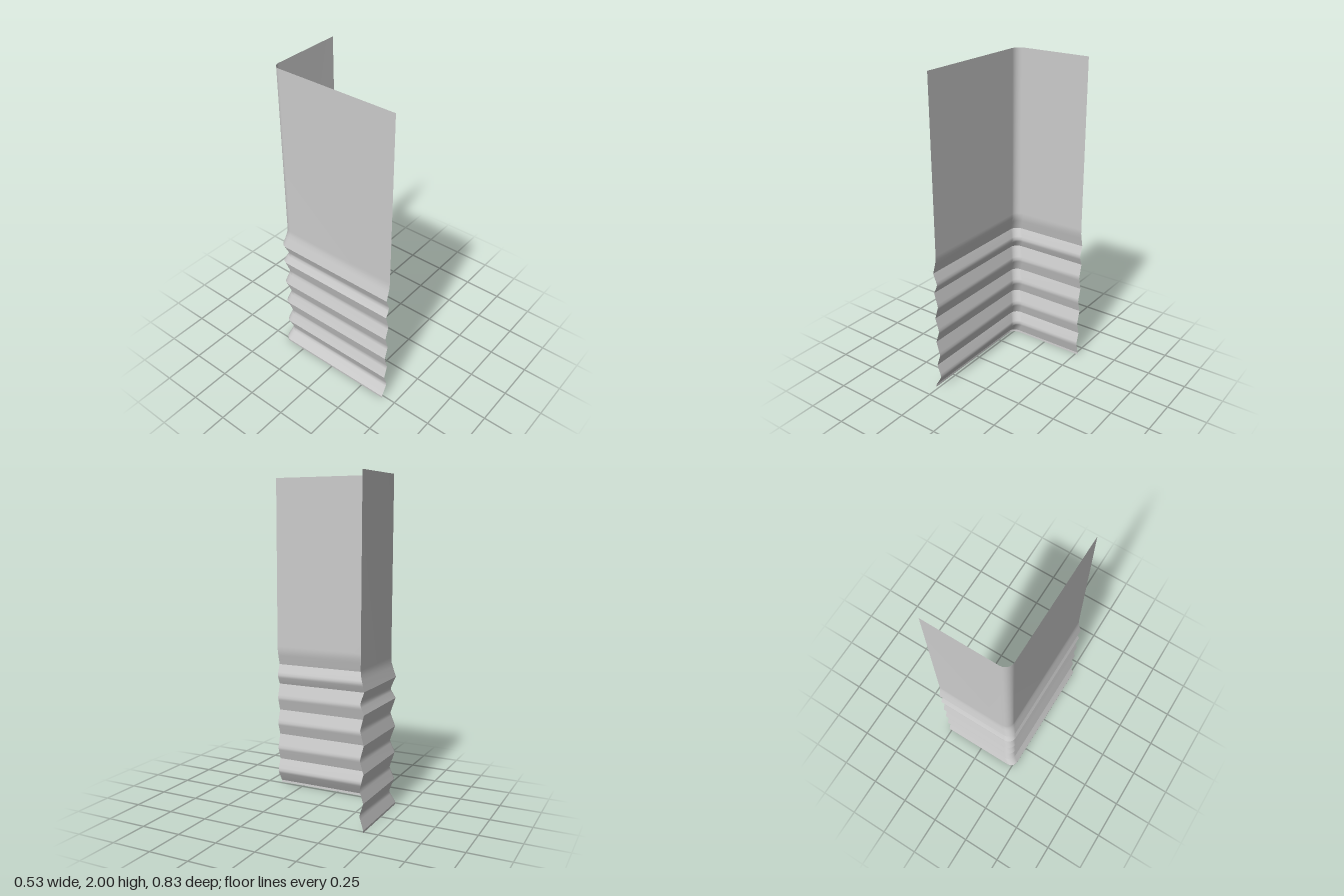
import * as THREE from 'three';

// One strip of the sheet: every row is [y, x of side wall, z of back wall]
function strip(rows, material) {
  const radius = 0.05, bend = 5, pos = [], index = [];
  for (const [y, x, z] of rows) {
    pos.push(x, y, 0.415);
    for (let i = 0; i <= bend; i++) {
      const a = (i / bend) * Math.PI / 2;
      pos.push(x + radius * (1 - Math.cos(a)), y, z + radius * (1 - Math.sin(a)));
    }
    pos.push(0.267, y, z);
  }
  const n = bend + 3;
  for (let r = 0; r < rows.length - 1; r++) {
    for (let c = 0; c < n - 1; c++) {
      const a = r * n + c, b = a + n;
      index.push(a, a + 1, b, a + 1, b + 1, b);
    }
  }
  const geo = new THREE.BufferGeometry();
  geo.setAttribute('position', new THREE.Float32BufferAttribute(pos, 3));
  geo.setIndex(index);
  geo.computeVertexNormals();
  return new THREE.Mesh(geo, material);
}

export function createModel() {
  const group = new THREE.Group();
  group.name = 'cornerPanel';
  const material = new THREE.MeshStandardMaterial({ color: 0xcccccc, side: THREE.DoubleSide });

  // t = 0 on the plain wall, t = 1 on a ridge
  const row = (y, t) => [y, -0.225 - 0.025 * t, -0.391 - 0.022 * t];
  const ridges = [0.81, 0.68, 0.505, 0.34, 0.17];
  const valleys = [0.74, 0.59, 0.42, 0.25];

  // Plain wall flaring out to the first ridge
  const wall = strip([row(2, 0), row(0.93, 0), row(0.9, 0.08), row(0.87, 0.35), row(ridges[0], 1)], material);
  wall.name = 'upperWall';
  group.add(wall);

  // Pleats: sharp ridges with softly rounded valleys between them
  valleys.forEach((v, i) => {
    const top = ridges[i], low = ridges[i + 1], soft = 0.018;
    const pleat = strip([
      row(top, 1),
      row(v + soft, 0.2),
      row(v, 0),
      row(v - soft, 0.2),
      row(low, 1),
    ], material);
    pleat.name = 'pleat' + (i + 1);
    group.add(pleat);
  });

  // Last valley and the flared foot
  const foot = strip([
    row(0.17, 1), row(0.11, 0.15), row(0.092, 0), row(0.075, 0.25), [0.014, -0.268, -0.415],
  ], material);
  foot.name = 'flaredFoot';
  group.add(foot);

  // Narrow lip along the bottom edge
  const lip = strip([[0.014, -0.268, -0.415], [0, -0.267, -0.414]], material);
  lip.name = 'bottomLip';
  group.add(lip);

  return group;
}
